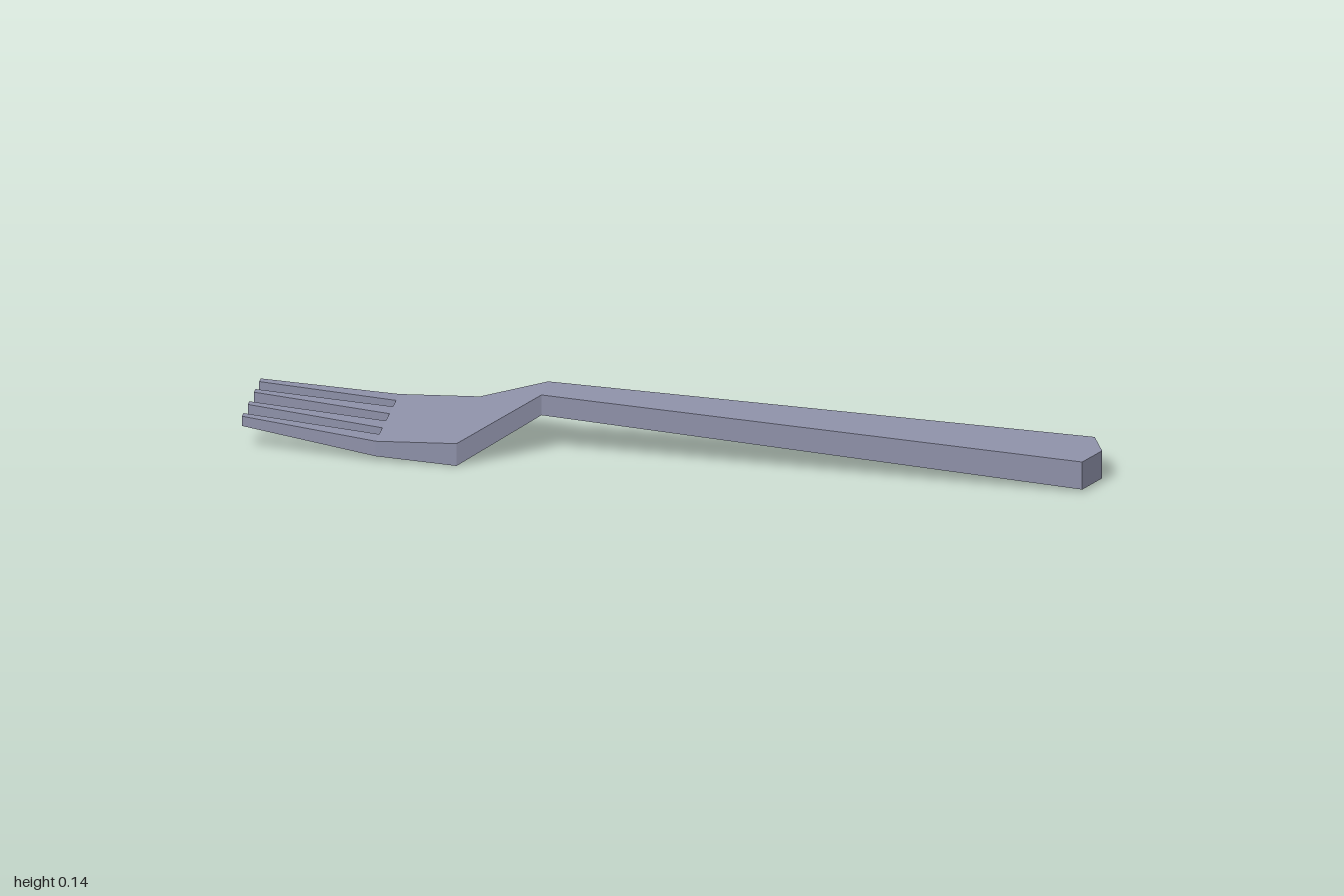
import * as THREE from 'three';

// Lofts rectangular sections [x, zMin, zMax, yMin, yMax] running towards +x.
// Group 0 holds the underside, group 1 all other faces.
function loft(sections, capStart) {
  const rings = sections.map(([x, z0, z1, y0, y1]) => [
    [x, y0, z0], [x, y0, z1], [x, y1, z1], [x, y1, z0],
  ]);
  const points = [];
  const quad = (a, b, c, d) => points.push(...a, ...b, ...c, ...a, ...c, ...d);
  for (let i = 0; i < 4; i++) {
    const j = (i + 1) % 4;
    for (let s = 0; s < rings.length - 1; s++) {
      const a = rings[s], b = rings[s + 1];
      quad(a[i], b[i], b[j], a[j]);
    }
  }
  if (capStart) quad(...rings[0]);
  const geometry = new THREE.BufferGeometry();
  geometry.setAttribute('position', new THREE.Float32BufferAttribute(points, 3));
  geometry.computeVertexNormals();
  const underside = 6 * (rings.length - 1);
  geometry.addGroup(0, underside, 0);
  geometry.addGroup(underside, points.length / 3 - underside, 1);
  return geometry;
}

export function createModel() {
  const group = new THREE.Group();
  group.name = 'fork';
  const dark = new THREE.MeshStandardMaterial({ color: 0x343438 });
  dark.name = 'darkUnderside';
  const steel = new THREE.MeshStandardMaterial({ color: 0x8f92aa });
  steel.name = 'blueGreySteel';

  const add = (name, geometry) => {
    const mesh = new THREE.Mesh(geometry, [dark, steel]);
    mesh.name = name;
    group.add(mesh);
  };

  // Widening handle with a pointed end
  add('handle', loft([
    [-0.31, -0.046, 0.046, 0.095, 0.145],
    [0.968, -0.085, 0.085, 0.006, 0.074],
    [1, 0, 0, 0.005, 0.073],
  ], false));

  // Sloping shoulder and flat palm
  add('head', loft([
    [-0.68, -0.16, 0.16, 0.012, 0.049],
    [-0.49, -0.16, 0.16, 0, 0.055],
    [-0.31, -0.046, 0.046, 0.095, 0.145],
  ], true));

  // Four tapering tines: tip zMin, zMax, then root zMin, zMax
  const tines = [
    [-0.128, -0.107, -0.16, -0.117],
    [-0.056, -0.035, -0.075, -0.027],
    [0.027, 0.048, 0.021, 0.069],
    [0.107, 0.128, 0.112, 0.16],
  ];
  tines.forEach(([tip0, tip1, root0, root1], i) => {
    add(`tine${i + 1}`, loft([
      [-1, tip0, tip1, 0.055, 0.079],
      [-0.68, root0, root1, 0.012, 0.049],
    ], true));
  });

  return group;
}
